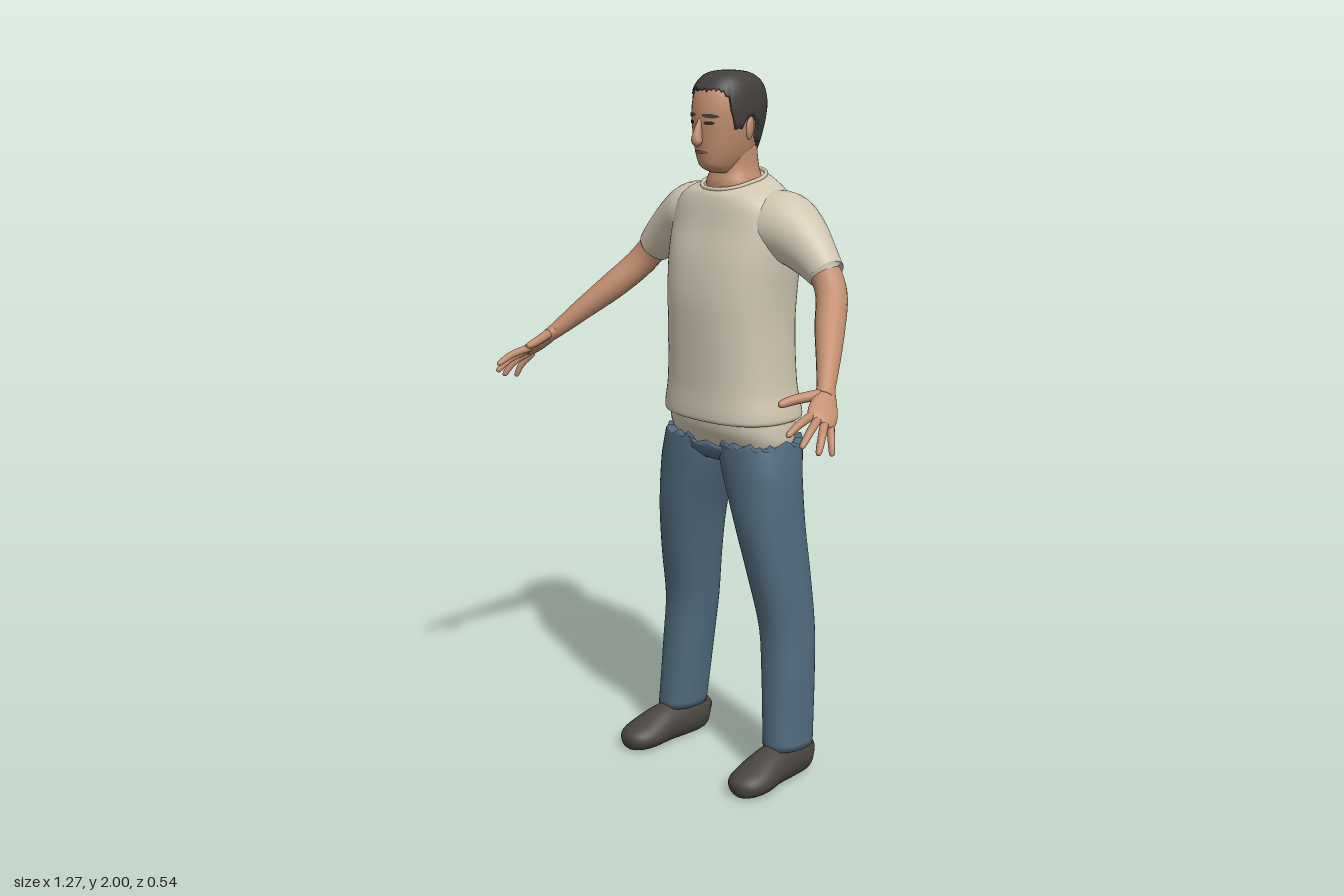
import * as THREE from 'three';

const V = (x, y, z) => new THREE.Vector3(x, y, z);
const mat = (name, color) => Object.assign(new THREE.MeshStandardMaterial({ color }), { name });

// Smoothly subdivide equally long rows of numbers (Catmull-Rom on every column)
function smooth(rows, k = 4) {
  const out = [], at = i => rows[Math.max(0, Math.min(rows.length - 1, i))];
  for (let i = 0; i < rows.length - 1; i++) for (let s = 0; s < k; s++) {
    const t = s / k, [a, b, c, d] = [at(i - 1), at(i), at(i + 1), at(i + 2)];
    out.push(b.map((_, n) => 0.5 * (2 * b[n] + (c[n] - a[n]) * t
      + (2 * a[n] - 5 * b[n] + 4 * c[n] - d[n]) * t * t
      + (3 * b[n] - a[n] - 3 * c[n] + d[n]) * t * t * t)));
  }
  out.push(rows[rows.length - 1]);
  return out;
}

// Skin closed rings of equal size into one smooth surface
function skinRings(rings, capStart = true) {
  const n = rings[0].length, pts = rings.flat(), idx = [];
  for (let i = 0; i < rings.length - 1; i++) for (let j = 0; j < n; j++) {
    const a = i * n + j, b = i * n + (j + 1) % n;
    idx.push(a, b, a + n, b, b + n, a + n);
  }
  const cap = (r, flip) => {
    const base = r * n, c = pts.length, mid = V(0, 0, 0);
    rings[r].forEach(p => mid.addScaledVector(p, 1 / n));
    pts.push(mid);
    for (let j = 0; j < n; j++) {
      const a = base + j, b = base + (j + 1) % n;
      idx.push(...(flip ? [b, a, c] : [a, b, c]));
    }
  };
  if (capStart) cap(0, true);
  cap(rings.length - 1, false);
  const g = new THREE.BufferGeometry().setFromPoints(pts);
  g.setIndex(idx);
  g.computeVertexNormals();
  return g;
}

// Superellipse point: angle 0 faces front, then turns towards +x
const pw = (v, n) => Math.sign(v) * Math.abs(v) ** (2 / n);
const oval = (a, cx, hw, zf, zb, n) =>
  [cx + hw * pw(Math.sin(a), n), (zf + zb) / 2 + (zf - zb) / 2 * pw(Math.cos(a), n)];

// Upright form; rows are [y, centreX, halfWidth, frontZ, backZ, backRise or nothing]
function upright(rows, { n = 2.3, seg = 40, k = 4, warp } = {}) {
  const list = smooth(rows.map(r => [...r, 0].slice(0, 6)), k);
  return skinRings(list.map(([y, cx, hw, zf, zb, rise], i) => Array.from({ length: seg }, (_, j) => {
    const a = j / seg * Math.PI * 2, [x, z] = oval(a, cx, hw, zf, zb, n);
    const p = V(x, y - rise * Math.cos(a), z);
    if (warp) warp(p, i / (list.length - 1), j);
    return p;
  })));
}

// Limb along a path; rows are [x, y, z, radiusU, radiusV], u follows ref
function limb(rows, ref, seg = 20) {
  const list = smooth(rows), c = list.map(r => V(r[0], r[1], r[2]));
  return skinRings(list.map((r, i) => {
    const t = c[Math.min(i + 1, c.length - 1)].clone().sub(c[Math.max(i - 1, 0)]).normalize();
    const u = ref.clone().addScaledVector(t, -ref.dot(t)).normalize(), v = u.clone().cross(t);
    return Array.from({ length: seg }, (_, j) => {
      const a = j / seg * Math.PI * 2;
      return c[i].clone().addScaledVector(u, r[3] * Math.sin(a)).addScaledVector(v, r[4] * Math.cos(a));
    });
  }));
}

function mirrored(g) {
  const m = g.clone().scale(-1, 1, 1), ix = m.index.array;
  for (let i = 0; i < ix.length; i += 3) [ix[i], ix[i + 1]] = [ix[i + 1], ix[i]];
  m.computeVertexNormals();
  return m;
}

// Head profile, shared by skull, hair and face details
const HEAD = smooth([
  [1.728, 0, .03, -.035, -.1], [1.745, 0, .042, .0, -.13], [1.77, 0, .055, .01, -.158],
  [1.8, 0, .065, .014, -.174], [1.84, 0, .073, .017, -.186], [1.87, 0, .077, .019, -.194],
  [1.91, 0, .079, .017, -.198], [1.95, 0, .073, .006, -.188], [1.975, 0, .058, -.015, -.165],
  [1.988, 0, .036, -.042, -.135], [1.993, 0, .004, -.083, -.093]], 6);
function headAt(y) {
  const i = Math.max(1, HEAD.findIndex(r => r[0] >= y)), a = HEAD[i - 1], b = HEAD[i];
  const t = (y - a[0]) / (b[0] - a[0]);
  return a.map((v, n) => v + (b[n] - v) * t);
}

// Lens-shaped plate lying on the face
function facePlate(x0, x1, y, h, slope = 0) {
  const g = new THREE.PlaneGeometry(1, 1, 10, 2), p = g.attributes.position;
  for (let i = 0; i < p.count; i++) {
    const s = p.getX(i), x = x0 + (s + .5) * (x1 - x0);
    const yy = y + slope * s + p.getY(i) * h * Math.sqrt(1.05 - 4 * s * s);
    const [, , hw, zf, zb] = headAt(yy);
    const d = (1 - Math.abs(x / hw) ** 2.3) ** (1 / 2.3);
    p.setXYZ(i, x, yy, (zf + zb) / 2 + (zf - zb) / 2 * d + .003);
  }
  g.computeVertexNormals();
  return g;
}

// Height of the hair's lower edge by angle from the front
const HAIRLINE = [[0, 1.95], [.6, 1.952], [.95, 1.935], [1.1, 1.88], [1.25, 1.845], [1.42, 1.85],
  [1.55, 1.885], [1.8, 1.87], [1.95, 1.815], [2.5, 1.788], [3.15, 1.775]];
function hairline(angle) {
  const a = Math.min(angle, Math.PI * 2 - angle);
  const i = Math.max(1, HAIRLINE.findIndex(h => h[0] >= a)), [p, q] = [HAIRLINE[i - 1], HAIRLINE[i]];
  return p[1] + (q[1] - p[1]) * (a - p[0]) / (q[0] - p[0]);
}

export function createModel() {
  const model = new THREE.Group();
  model.name = 'standingMan';
  const skin = mat('skin', 0xc18d6e), shirt = mat('shirtCloth', 0xd0c6b1), denim = mat('denim', 0x506a7d);
  const leather = mat('shoeLeather', 0x494540), hairMat = mat('hair', 0x423f3d);
  const dark = mat('eyeDark', 0x35291f), lip = mat('lips', 0x8d5b48);
  const add = (name, g, m) => {
    const mesh = new THREE.Mesh(g, m);
    mesh.name = name;
    model.add(mesh);
  };
  const pair = (name, g, m) => { add(name + 'Left', g, m); add(name + 'Right', mirrored(g), m); };

  // Shirt body with a soft groove down the back
  add('shirtBody', upright([
    [1.045, 0, .19, .012, -.24], [1.05, 0, .206, .038, -.268], [1.075, 0, .206, .042, -.268],
    [1.15, 0, .192, .04, -.258], [1.3, 0, .185, .045, -.255], [1.4, 0, .188, .045, -.26],
    [1.5, 0, .197, .03, -.262], [1.58, 0, .2, .006, -.252], [1.64, 0, .185, -.008, -.24],
    [1.68, 0, .145, -.018, -.222, .01], [1.705, 0, .084, -.028, -.2, .022]], {
    n: 2.4, seg: 56,
    warp: (p, t) => {
      if (p.z < -.13) p.z += .016 * Math.exp(-((p.x / .035) ** 2)) * Math.sin(Math.PI * t);
    } }), shirt);
  const collarPts = Array.from({ length: 28 }, (_, j) => {
    const a = j / 28 * Math.PI * 2, [x, z] = oval(a, 0, .082, -.03, -.198, 2.4);
    return V(x, 1.706 - .022 * Math.cos(a), z);
  });
  add('collar', new THREE.TubeGeometry(new THREE.CatmullRomCurve3(collarPts, true), 56, .006, 8, true), shirt);
  pair('sleeve', limb([
    [.1, 1.59, -.14, .105, .09], [.17, 1.585, -.14, .1, .098], [.23, 1.56, -.137, .082, .084],
    [.29, 1.52, -.13, .062, .066], [.33, 1.487, -.126, .052, .053], [.337, 1.481, -.125, .05, .05],
    [.338, 1.48, -.125, .036, .036]], V(0, 0, 1), 28), shirt);
  add('shirtTail', upright([[.95, 0, .18, -.02, -.21], [.985, 0, .202, -.006, -.224],
    [1.02, 0, .203, .012, -.236], [1.06, 0, .198, .018, -.24]], { n: 2.4 }), shirt);

  // Trousers with a ragged upper edge
  const ragged = (p, t, j) => {
    if (t === 1) p.y += [.008, -.004, .003, .012, -.007, 0, -.01][j % 7];
  };
  add('trouserSeat', upright([[.925, 0, .12, -.03, -.2], [.95, 0, .19, -.006, -.222], [.975, 0, .209, 0, -.232]],
    { n: 2.4, k: 2, warp: ragged }), denim);
  pair('trouserLeg', upright([
    [.1, .22, .06, -.045, -.2], [.2, .213, .063, -.05, -.208], [.32, .205, .067, -.056, -.216],
    [.45, .194, .071, -.058, -.222], [.6, .178, .078, -.03, -.216], [.75, .155, .088, -.005, -.21],
    [.88, .128, .107, .001, -.212], [.94, .114, .112, .002, -.224], [.985, .107, .109, .001, -.235]],
  { warp: ragged }), denim);

  // Shoes, flattened underneath
  const shoe = limb([
    [.213, .045, -.205, .015, .025], [.214, .052, -.193, .042, .053], [.216, .055, -.13, .05, .062],
    [.221, .052, -.05, .056, .058], [.227, .038, .02, .064, .046], [.229, .03, .07, .054, .036],
    [.23, .024, .094, .03, .024], [.23, .022, .101, .006, .006]], V(1, 0, 0), 28);
  const sp = shoe.attributes.position;
  for (let i = 0; i < sp.count; i++) sp.setY(i, Math.max(sp.getY(i), 0));
  shoe.computeVertexNormals();
  pair('shoe', shoe, leather);

  // Arms and hands
  pair('arm', limb([
    [.28, 1.53, -.128, .042, .042], [.34, 1.475, -.122, .043, .043], [.38, 1.425, -.1, .043, .042],
    [.43, 1.36, -.04, .041, .039], [.485, 1.295, .025, .033, .031], [.533, 1.235, .085, .025, .022],
    [.548, 1.218, .105, .026, .018]], V(0, 0, 1)), skin);
  const across = V(-.04, .03, .045);
  pair('palm', limb([
    [.533, 1.235, .085, .024, .019], [.55, 1.213, .108, .032, .018], [.57, 1.19, .135, .04, .017],
    [.584, 1.175, .157, .039, .013], [.59, 1.168, .167, .028, .006]], across), skin);
  [['thumb', [.54, 1.225, .112], [.512, 1.217, .175], [.5, 1.208, .225], .013],
    ['indexFinger', [.565, 1.187, .165], [.574, 1.173, .225], [.577, 1.15, .275], .0105],
    ['middleFinger', [.578, 1.178, .16], [.597, 1.155, .212], [.607, 1.122, .255], .0105],
    ['ringFinger', [.588, 1.168, .148], [.613, 1.14, .186], [.628, 1.1, .215], .0105],
    ['littleFinger', [.592, 1.162, .132], [.617, 1.127, .155], [.631, 1.09, .167], .0095],
  ].forEach(([name, a, b, c, r]) => {
    const tip = b.map((v, i) => v + (c[i] - v) * .85);
    pair(name, limb([[...a, r * 1.1, r * 1.1], [...b, r, r], [...tip, r * .75, r * .75], [...c, .001, .001]],
      across, 10), skin);
  });

  // Neck and head
  add('neck', upright([[1.66, 0, .08, -.045, -.19], [1.7, 0, .075, -.042, -.19],
    [1.74, 0, .062, -.052, -.182], [1.8, 0, .058, -.05, -.175]]), skin);
  add('head', upright(HEAD, { k: 1 }), skin);
  add('nose', limb([[0, 1.878, .012, .006, .006], [0, 1.85, .022, .009, .012],
    [0, 1.824, .028, .014, .016], [0, 1.814, .025, .015, .014], [0, 1.808, .018, .006, .006]], V(1, 0, 0), 14), skin);
  const ear = new THREE.SphereGeometry(1, 14, 10).scale(.008, .032, .02);
  ear.rotateY(.35).rotateX(-.15).translate(.082, 1.85, -.092);
  pair('ear', ear, skin);
  pair('eyebrow', facePlate(.013, .055, 1.885, .011, -.003), hairMat);
  pair('eye', facePlate(.018, .046, 1.866, .01), dark);
  add('mouth', facePlate(-.026, .026, 1.787, .01), lip);

  // Short hair rising from the hairline to the crown
  const seg = 72, hairRings = Array.from({ length: 17 }, (_, i) => Array.from({ length: seg }, (_, j) => {
    const a = j / seg * Math.PI * 2, low = hairline(a) + [0, .006, -.003, .004][j % 4];
    const rise = Math.sin(Math.max(0, i - 1) / 15 * Math.PI / 2), y = low + (1.992 - low) * rise;
    const [, , hw, zf, zb] = headAt(y), o = i ? .008 : -.003;
    const [x, z] = oval(a, 0, hw + o, zf + o * .7, zb - o, 2.3);
    return V(x, y + .008 * rise, z);
  }));
  add('hair', skinRings(hairRings, false), hairMat);
  return model;
}
